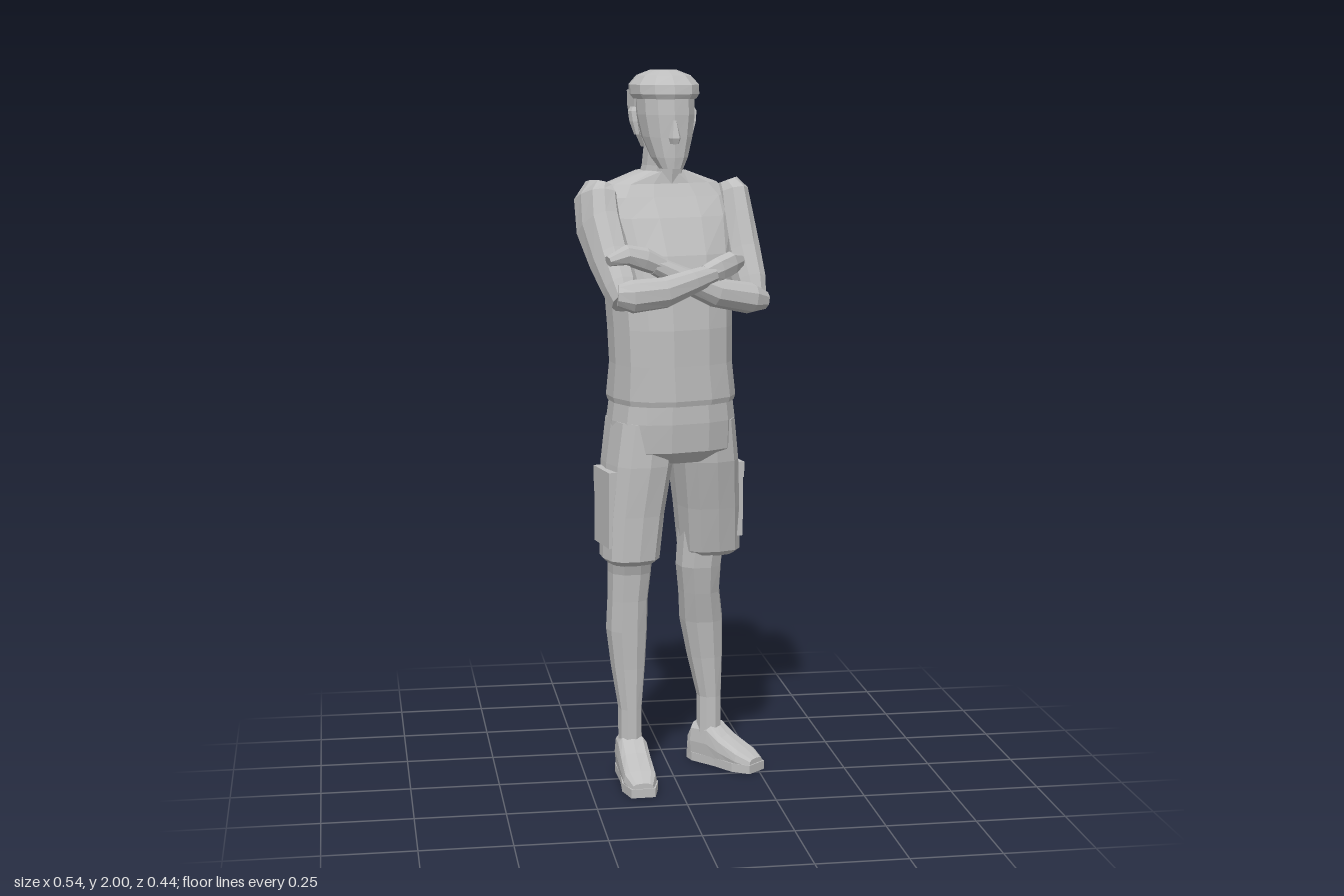
import * as THREE from 'three';

const grey = new THREE.MeshStandardMaterial({ color: 0xbebebe });
grey.name = 'plain grey';
const V = (x, y, z) => new THREE.Vector3(x, y, z);

// Faceted mesh from any geometry
function part(name, geo) {
  const g = geo.index ? geo.toNonIndexed() : geo;
  g.computeVertexNormals();
  const mesh = new THREE.Mesh(g, grey);
  mesh.name = name;
  return mesh;
}

// Closed loft through sections [x, y, z, halfWidth, halfDepth].
// ref: width direction; axis: fixed section normal (otherwise follows the path)
function loft(name, rows, { ref = V(1, 0, 0), axis = null, sides = 10, power = 2.3 } = {}) {
  const pos = [], idx = [], c = rows.map(r => V(r[0], r[1], r[2]));
  rows.forEach((r, i) => {
    const t = axis ? axis.clone()
      : c[Math.min(i + 1, c.length - 1)].clone().sub(c[Math.max(i - 1, 0)]).normalize();
    const u = ref.clone().addScaledVector(t, -ref.dot(t)).normalize();
    const v = t.clone().cross(u);
    for (let j = 0; j < sides; j++) {
      const a = j / sides * Math.PI * 2, co = Math.cos(a), si = Math.sin(a);
      const p = c[i].clone()
        .addScaledVector(u, r[3] * Math.sign(co) * Math.abs(co) ** (2 / power))
        .addScaledVector(v, r[4] * Math.sign(si) * Math.abs(si) ** (2 / power));
      pos.push(p.x, p.y, p.z);
    }
  });
  const last = rows.length - 1, A = rows.length * sides, B = A + 1;
  pos.push(...c[0].toArray(), ...c[last].toArray());
  for (let j = 0; j < sides; j++) {
    const k = (j + 1) % sides;
    for (let i = 0; i < last; i++) {
      const a = i * sides + j, b = i * sides + k;
      idx.push(a, b, b + sides, a, b + sides, a + sides);
    }
    idx.push(A, k, j, B, last * sides + j, last * sides + k);
  }
  const g = new THREE.BufferGeometry();
  g.setAttribute('position', new THREE.Float32BufferAttribute(pos, 3));
  g.setIndex(idx);
  return part(name, g);
}

const UP = V(0, 1, 0), DOWN = V(0, -1, 0);
const turned = a => V(Math.cos(a), 0, -Math.sin(a));

function box(name, size, at, yaw = 0) {
  const m = part(name, new THREE.BoxGeometry(...size));
  m.position.set(...at);
  m.rotation.y = yaw;
  return m;
}

function makeHead() {
  const head = new THREE.Group();
  head.name = 'head';
  const opt = { axis: UP, sides: 12 };
  head.add(loft('face', [
    [0, 1.735, 0.025, 0.033, 0.035], [0, 1.765, 0.005, 0.05, 0.058],
    [0, 1.82, -0.02, 0.068, 0.083], [0, 1.88, -0.037, 0.078, 0.1],
    [0, 1.95, -0.045, 0.08, 0.1]], opt));
  // Hair: crown with an overhanging fringe, and the back down to the nape
  head.add(loft('hairCrown', [
    [0, 1.922, -0.048, 0.085, 0.108], [0, 1.935, -0.05, 0.094, 0.116],
    [0, 1.96, -0.052, 0.095, 0.113], [0, 1.985, -0.055, 0.073, 0.09],
    [0, 2.0, -0.055, 0.035, 0.048]], opt));
  head.add(loft('hairBack', [
    [0, 1.79, -0.1, 0.052, 0.04], [0, 1.85, -0.108, 0.077, 0.05],
    [0, 1.9, -0.106, 0.089, 0.06], [0, 1.945, -0.1, 0.092, 0.066]], opt));
  head.add(loft('nose', [
    [0, 1.802, 0.06, 0.012, 0.014], [0, 1.818, 0.062, 0.017, 0.018],
    [0, 1.865, 0.056, 0.007, 0.009]], { axis: UP, sides: 6 }));
  for (const s of [1, -1]) {
    head.add(loft(s > 0 ? 'leftEar' : 'rightEar', [
      [s * 0.076, 1.825, -0.052, 0.008, 0.01], [s * 0.083, 1.86, -0.06, 0.012, 0.02],
      [s * 0.086, 1.888, -0.066, 0.012, 0.022], [s * 0.083, 1.9, -0.066, 0.008, 0.014]],
      { axis: UP, sides: 6 }));
  }
  head.position.x = -0.014;
  head.rotation.y = 0.12;
  return head;
}

function makeShoe(name, x, z, yaw, front, heel) {
  const shoe = new THREE.Group();
  shoe.name = name;
  const row = (s, w, h) => [0, h / 2, s, w, h / 2];
  const opt = { axis: V(0, 0, 1), power: 3.2, sides: 12 };
  shoe.add(loft('upper', [
    row(-heel + 0.006, 0.034, 0.085), row(-heel * 0.6, 0.042, 0.118), row(0.025, 0.045, 0.122),
    row(front * 0.4, 0.046, 0.09), row(front * 0.75, 0.047, 0.062),
    row(front - 0.004, 0.03, 0.04)], opt));
  // Sole outline, extruded upwards
  const outline = [[-0.028, -heel], [0.028, -heel], [0.042, -heel * 0.5], [0.042, front * 0.3],
    [0.052, front * 0.7], [0.034, front], [-0.034, front], [-0.05, front * 0.7],
    [-0.042, front * 0.3], [-0.042, -heel * 0.5]];
  const shape = new THREE.Shape(outline.map(p => new THREE.Vector2(p[0], -p[1])));
  const sole = part('sole', new THREE.ExtrudeGeometry(shape, { depth: 0.025, bevelEnabled: false }));
  sole.rotation.x = -Math.PI / 2;
  shoe.add(sole);
  shoe.position.set(x, 0, z);
  shoe.rotation.y = yaw;
  return shoe;
}

export function createModel() {
  const man = new THREE.Group();
  man.name = 'standingManWithFoldedArms';
  man.add(makeHead());
  man.add(loft('neck', [
    [-0.025, 1.67, -0.105, 0.07, 0.065], [-0.018, 1.74, -0.09, 0.058, 0.055],
    [-0.014, 1.83, -0.075, 0.055, 0.055]], { axis: UP }));

  // Sleeveless shirt, turned towards the left
  man.add(loft('shirt', [
    [-0.004, 1.09, -0.032, 0.172, 0.148], [-0.004, 1.105, -0.032, 0.176, 0.152],
    [-0.006, 1.2, -0.02, 0.168, 0.138], [-0.008, 1.3, -0.025, 0.17, 0.142],
    [-0.01, 1.4, -0.037, 0.175, 0.143], [-0.014, 1.5, -0.06, 0.187, 0.138],
    [-0.016, 1.6, -0.088, 0.202, 0.112], [-0.018, 1.655, -0.1, 0.204, 0.085],
    [-0.02, 1.69, -0.105, 0.17, 0.068], [-0.022, 1.725, -0.1, 0.068, 0.058]],
    { axis: UP, ref: turned(0.3), sides: 14, power: 2.6 }));

  // Left arm, tucked under and resting its hand on the other arm
  man.add(loft('leftUpperArm', [
    [0.168, 1.69, -0.14, 0.03, 0.05], [0.18, 1.655, -0.135, 0.045, 0.082],
    [0.187, 1.58, -0.108, 0.05, 0.083], [0.2, 1.49, -0.06, 0.052, 0.068],
    [0.215, 1.415, -0.015, 0.046, 0.054], [0.222, 1.37, 0.015, 0.035, 0.04]],
    { ref: turned(0.15) }));
  man.add(loft('leftForearm', [
    [0.245, 1.37, 0.018, 0.028, 0.034], [0.205, 1.378, 0.04, 0.043, 0.046],
    [0.1, 1.4, 0.082, 0.04, 0.042], [0, 1.445, 0.108, 0.032, 0.034],
    [-0.07, 1.48, 0.118, 0.026, 0.03]], { ref: UP }));
  man.add(loft('leftHand', [
    [-0.05, 1.475, 0.116, 0.026, 0.027], [-0.1, 1.497, 0.125, 0.032, 0.033],
    [-0.15, 1.51, 0.135, 0.028, 0.032], [-0.2, 1.495, 0.148, 0.014, 0.02]], { ref: UP, sides: 8 }));

  // Right arm, crossing in front
  man.add(loft('rightUpperArm', [
    [-0.2, 1.69, -0.05, 0.03, 0.05], [-0.212, 1.655, -0.04, 0.046, 0.08],
    [-0.208, 1.58, -0.005, 0.05, 0.082], [-0.185, 1.49, 0.065, 0.05, 0.066],
    [-0.165, 1.42, 0.13, 0.045, 0.052], [-0.158, 1.385, 0.165, 0.034, 0.038]],
    { ref: turned(0.45) }));
  man.add(loft('rightForearm', [
    [-0.178, 1.405, 0.175, 0.03, 0.03], [-0.14, 1.402, 0.177, 0.045, 0.042],
    [-0.05, 1.41, 0.163, 0.042, 0.04], [0.03, 1.435, 0.13, 0.034, 0.033],
    [0.09, 1.452, 0.094, 0.027, 0.029]], { ref: UP }));
  man.add(loft('rightHand', [
    [0.07, 1.45, 0.105, 0.027, 0.028], [0.11, 1.462, 0.082, 0.034, 0.028],
    [0.15, 1.475, 0.05, 0.034, 0.026], [0.183, 1.48, 0.015, 0.018, 0.016]], { ref: UP, sides: 8 }));

  // Shorts: hips, two legs, side pockets with flaps
  man.add(loft('shortsHips', [
    [0, 0.925, -0.04, 0.11, 0.11], [-0.004, 0.96, -0.04, 0.176, 0.145],
    [-0.004, 1.04, -0.035, 0.176, 0.148], [-0.004, 1.1, -0.032, 0.168, 0.144]],
    { axis: UP, ref: turned(0.25), sides: 14, power: 2.6 }));
  const cloth = { axis: DOWN, ref: turned(0.2), sides: 12, power: 2.8 };
  man.add(loft('leftShortsLeg', [
    [0.082, 1.04, -0.058, 0.085, 0.125], [0.092, 0.92, -0.068, 0.089, 0.122],
    [0.106, 0.78, -0.088, 0.086, 0.104], [0.116, 0.65, -0.103, 0.084, 0.088],
    [0.116, 0.635, -0.104, 0.066, 0.07]], cloth));
  man.add(loft('rightShortsLeg', [
    [-0.092, 1.04, -0.02, 0.085, 0.125], [-0.104, 0.92, -0.012, 0.089, 0.122],
    [-0.12, 0.78, 0.0, 0.083, 0.104], [-0.128, 0.655, 0.014, 0.078, 0.088],
    [-0.128, 0.64, 0.014, 0.062, 0.07]], cloth));
  man.add(box('leftPocket', [0.03, 0.2, 0.13], [0.178, 0.79, -0.105], 0.2));
  man.add(box('leftPocketFlap', [0.034, 0.045, 0.136], [0.178, 0.882, -0.102], 0.2));
  man.add(box('rightPocket', [0.03, 0.2, 0.13], [-0.191, 0.79, 0.012], 0.2));
  man.add(box('rightPocketFlap', [0.034, 0.045, 0.136], [-0.19, 0.882, 0.012], 0.2));

  // Bare legs down to the ankles
  const skin = { axis: DOWN, sides: 10, power: 2.4 };
  man.add(loft('leftLeg', [
    [0.098, 0.72, -0.1, 0.07, 0.08], [0.088, 0.6, -0.108, 0.066, 0.076],
    [0.092, 0.52, -0.125, 0.06, 0.075], [0.102, 0.43, -0.147, 0.063, 0.075],
    [0.113, 0.32, -0.148, 0.052, 0.062], [0.125, 0.2, -0.143, 0.036, 0.047],
    [0.125, 0.08, -0.14, 0.036, 0.046]], skin));
  man.add(loft('rightLeg', [
    [-0.122, 0.72, -0.01, 0.065, 0.075], [-0.12, 0.6, -0.045, 0.062, 0.068],
    [-0.125, 0.52, -0.05, 0.058, 0.065], [-0.127, 0.43, -0.06, 0.059, 0.07],
    [-0.124, 0.32, -0.055, 0.049, 0.058], [-0.12, 0.2, -0.045, 0.034, 0.045],
    [-0.12, 0.08, -0.045, 0.034, 0.044]], skin));

  man.add(makeShoe('leftShoe', 0.125, -0.14, 0.72, 0.18, 0.06));
  man.add(makeShoe('rightShoe', -0.118, -0.04, 0.03, 0.215, 0.06));
  return man;
}
